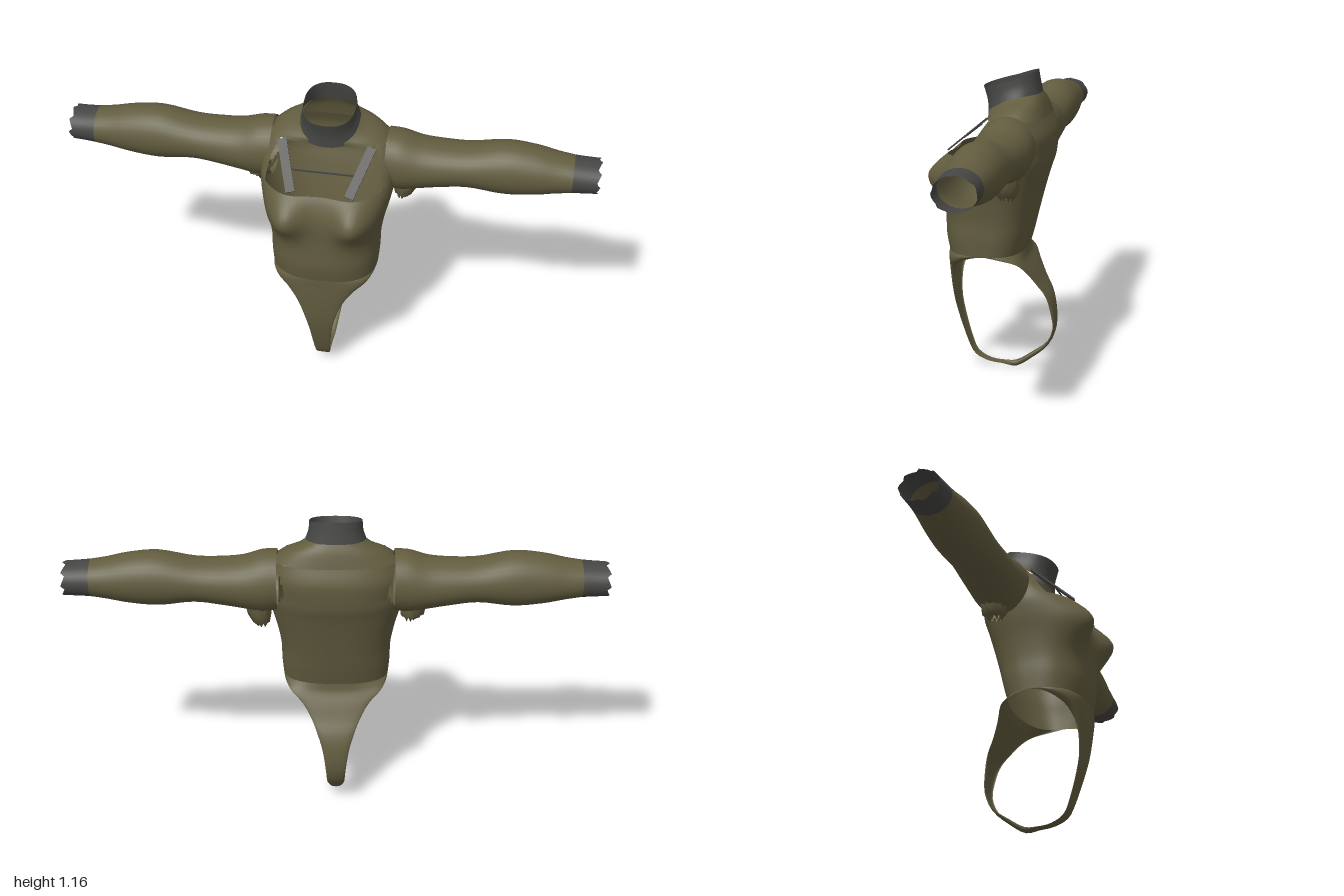
import * as THREE from 'three';

const olive = new THREE.MeshStandardMaterial({ color: 0x625c3f, side: THREE.DoubleSide });
olive.name = 'olive cloth';
const charcoal = new THREE.MeshStandardMaterial({ color: 0x464644, side: THREE.DoubleSide });
charcoal.name = 'charcoal trim';

// Fills in a short list of cross-sections with a smooth curve through them
function smooth(rows, steps) {
  const out = [];
  for (let i = 0; i < rows.length - 1; i++) {
    const [p, a, b, q] = [rows[Math.max(i - 1, 0)], rows[i], rows[i + 1], rows[Math.min(i + 2, rows.length - 1)]];
    for (let s = 0; s < steps; s++) {
      const t = s / steps;
      out.push(a.map((v, k) => v + 0.5 * t * (b[k] - p[k] + t * (2 * p[k] - 5 * v + 4 * b[k] - q[k]
        + t * (3 * (v - b[k]) + q[k] - p[k])))));
    }
  }
  out.push(rows[rows.length - 1]);
  return out;
}

// Skins a sheet through rows; at(row, u, i, j) gives a point, u runs 0..1 across.
// Faces whose middle passes the cut test are left out.
function skin(rows, cols, closed, at, cut = () => false) {
  const pos = [], index = [], n = closed ? cols : cols + 1;
  rows.forEach((row, i) => {
    for (let j = 0; j < n; j++) pos.push(...at(row, j / cols, i, j));
  });
  for (let i = 0; i < rows.length - 1; i++) {
    for (let j = 0; j < cols; j++) {
      const a = i * n + j, b = i * n + (j + 1) % n;
      const middle = [0, 1, 2].map(k => (pos[a * 3 + k] + pos[(b + n) * 3 + k]) / 2);
      if (!cut(middle)) index.push(a, b, b + n, a, b + n, a + n);
    }
  }
  const g = new THREE.BufferGeometry();
  g.setAttribute('position', new THREE.Float32BufferAttribute(pos, 3));
  g.setIndex(index);
  g.computeVertexNormals();
  return g;
}

// Armholes in both sides of the body
const armhole = ([x, y, z]) => Math.abs(x) > 0.15 && Math.hypot((y - 0.912) / 0.1, (z + 0.092) / 0.093) < 1;

const soft = v => Math.sign(v) * Math.abs(v) ** 0.8;

// Body ring: [front y, side y, back y, half width, front z, side z, back z], t = 0 at the front
function ring([yf, ys, yb, w, zf, zs, zb], t) {
  const c = soft(Math.cos(t)), k = Math.abs(c);
  const x = w * soft(Math.sin(t));
  let z = zs + ((c > 0 ? zf : zb) - zs) * k;
  const y = ys + ((c > 0 ? yf : yb) - ys) * k;
  // Bust
  if (c > 0) {
    const rise = Math.exp(-(((y - 0.775) / 0.085) ** 2));
    z += 0.084 * rise * Math.min(1, c * 1.6)
      * (Math.exp(-(((x - 0.135) / 0.085) ** 2)) + Math.exp(-(((x + 0.135) / 0.085) ** 2)));
  }
  return [x, y, z];
}
const level = (y, ...rest) => [y, y, y, ...rest];

export function createModel() {
  const group = new THREE.Group();
  const add = (name, geometry, material, parent = group) => {
    const mesh = new THREE.Mesh(geometry, material);
    mesh.name = name;
    parent.add(mesh);
    return mesh;
  };
  const fullRing = (row, u) => ring(row, u * Math.PI * 2);

  // Torso from the hips to the neckline
  const chestTop = [0.862, 0.878, 0.872, 0.25, 0.14, -0.04, -0.226];
  add('torso', skin(smooth([
    level(0.486, 0.2, 0.168, 0, -0.125),
    level(0.55, 0.205, 0.18, -0.005, -0.143),
    level(0.62, 0.207, 0.18, -0.01, -0.16),
    level(0.7, 0.22, 0.175, -0.02, -0.18),
    level(0.78, 0.24, 0.165, -0.03, -0.202),
    level(0.835, 0.25, 0.152, -0.035, -0.22),
    chestTop,
  ], 6), 80, true, fullRing, armhole), olive);

  // Upper back and sides, open at the front
  const yokeBase = level(1.0, 0.23, 0.012, -0.09, -0.205);
  add('upperBack', skin(smooth([
    chestTop, level(0.94, 0.25, 0.07, -0.07, -0.228), yokeBase,
  ], 7), 72, false, (row, u) => {
    const gap = 1.0 - 0.2 * (row[1] - 0.878) / 0.122;
    return ring(row, gap + u * (Math.PI * 2 - 2 * gap));
  }, armhole), olive);

  // Shoulder yoke rising to the neck
  add('shoulderYoke', skin(smooth([
    yokeBase,
    [1.01, 1.035, 1.05, 0.185, 0.014, -0.085, -0.19],
    [1.018, 1.058, 1.08, 0.13, 0.018, -0.08, -0.176],
    [1.02, 1.075, 1.09, 0.105, 0.02, -0.075, -0.17],
  ], 4), 48, true, fullRing, armhole), olive);

  // High collar, lower at the front
  add('collar', skin(smooth([
    [1.0, 1.066, 1.085, 0.112, 0.023, -0.075, -0.175],
    [1.05, 1.1, 1.125, 0.1, 0.026, -0.07, -0.167],
    [1.105, 1.133, 1.165, 0.097, 0.042, -0.065, -0.16],
  ], 4), 48, true, fullRing), charcoal);

  // Crotch panel from back to front: [centre y, centre z, edge x, edge y, edge z]
  add('crotchPanel', skin(smooth([
    [0.486, -0.125, 0.2, 0.486, 0],
    [0.472, -0.127, 0.192, 0.475, -0.055],
    [0.45, -0.133, 0.17, 0.456, -0.115],
    [0.41, -0.158, 0.125, 0.415, -0.145],
    [0.36, -0.185, 0.09, 0.36, -0.178],
    [0.31, -0.217, 0.068, 0.31, -0.207],
    [0.25, -0.235, 0.05, 0.25, -0.222],
    [0.17, -0.237, 0.038, 0.17, -0.23],
    [0.1, -0.21, 0.033, 0.1, -0.198],
    [0.045, -0.15, 0.027, 0.055, -0.14],
    [0.003, -0.085, 0.022, 0.018, -0.08],
    [0.01, -0.03, 0.02, 0.014, -0.03],
    [0.018, 0.025, 0.021, 0.02, 0.025],
    [0.045, 0.077, 0.026, 0.047, 0.075],
    [0.1, 0.106, 0.032, 0.1, 0.101],
    [0.2, 0.138, 0.042, 0.2, 0.132],
    [0.28, 0.155, 0.057, 0.28, 0.149],
    [0.36, 0.163, 0.085, 0.365, 0.15],
    [0.42, 0.166, 0.127, 0.425, 0.13],
    [0.455, 0.167, 0.17, 0.457, 0.095],
    [0.475, 0.168, 0.192, 0.478, 0.05],
    [0.486, 0.168, 0.2, 0.486, 0],
  ], 3), 24, false, ([yc, zc, xe, ye, ze], u) => {
    const t = (u - 0.5) * Math.PI, c = soft(Math.cos(t));
    return [xe * soft(Math.sin(t)), ye + (yc - ye) * c, ze + (zc - ze) * c];
  }), olive);

  // Thin cord across the open neckline
  const cord = add('necklineCord', new THREE.BoxGeometry(0.25, 0.006, 0.004), charcoal);
  cord.position.set(0, 0.93, 0.085);

  // Sleeve section: [x, centre y, half height, centre z, half depth]
  const tube = ([x, y, h, z, d], u) => {
    const a = u * Math.PI * 2;
    return [x, y + h * Math.cos(a), z + d * Math.sin(a)];
  };
  const wrist = [0.9, 0.917, 0.067, -0.094, 0.079];
  for (const side of [1, -1]) {
    const half = new THREE.Group();
    half.name = side > 0 ? 'leftSide' : 'rightSide';
    half.scale.x = side;
    group.add(half);

    add('sleeve', skin(smooth([
      [0.215, 0.912, 0.114, -0.092, 0.106],
      [0.27, 0.906, 0.116, -0.092, 0.108],
      [0.34, 0.902, 0.099, -0.093, 0.104],
      [0.42, 0.906, 0.088, -0.094, 0.1],
      [0.52, 0.913, 0.083, -0.094, 0.096],
      [0.65, 0.918, 0.103, -0.094, 0.097],
      [0.76, 0.918, 0.094, -0.094, 0.092],
      [0.84, 0.917, 0.077, -0.094, 0.084],
      wrist,
    ], 4), 32, true, tube), olive, half);

    // Cuff with a ragged end
    add('cuff', skin(smooth([
      wrist, [0.95, 0.917, 0.063, -0.096, 0.077], [1, 0.917, 0.061, -0.098, 0.076],
    ], 2), 32, true, (row, u, i, j) => {
      const p = tube(row, u);
      if (i === 4) p[0] -= 0.014 * ((j * 5) % 4) / 3;
      return p;
    }), charcoal, half);

    // Gathered cloth hanging under the arm, narrowing downwards
    const drop = side > 0 ? 0.725 : 0.75;
    add('underarmFold', skin([
      [drop, 0.272, 0.014, 0.022],
      [drop + 0.02, 0.276, 0.03, 0.034],
      [0.78, 0.282, 0.042, 0.046],
      [0.815, 0.285, 0.046, 0.048],
    ], 20, true, ([y, x, w, d], u, i, j) => {
      const a = u * Math.PI * 2, k = j % 2 ? 0.86 : 1.08;
      return [x + w * k * Math.sin(a), y + (i === 0 ? 0.012 * (j % 3) : 0), -0.105 + d * k * Math.cos(a)];
    }), olive, half);

    // Flat strap from the yoke down to the neckline
    const top = new THREE.Vector3(0.168, 1.003, 0.0), end = new THREE.Vector3(0.108, 0.876, 0.152);
    const strap = add('strap', new THREE.BoxGeometry(0.034, 0.006, top.distanceTo(end)), charcoal, half);
    strap.position.copy(top).lerp(end, 0.5);
    const along = end.clone().sub(top).normalize();
    const across = new THREE.Vector3(1, 0, 0).addScaledVector(along, -along.x).normalize();
    strap.quaternion.setFromRotationMatrix(
      new THREE.Matrix4().makeBasis(across, along.clone().cross(across), along));
  }
  return group;
}
